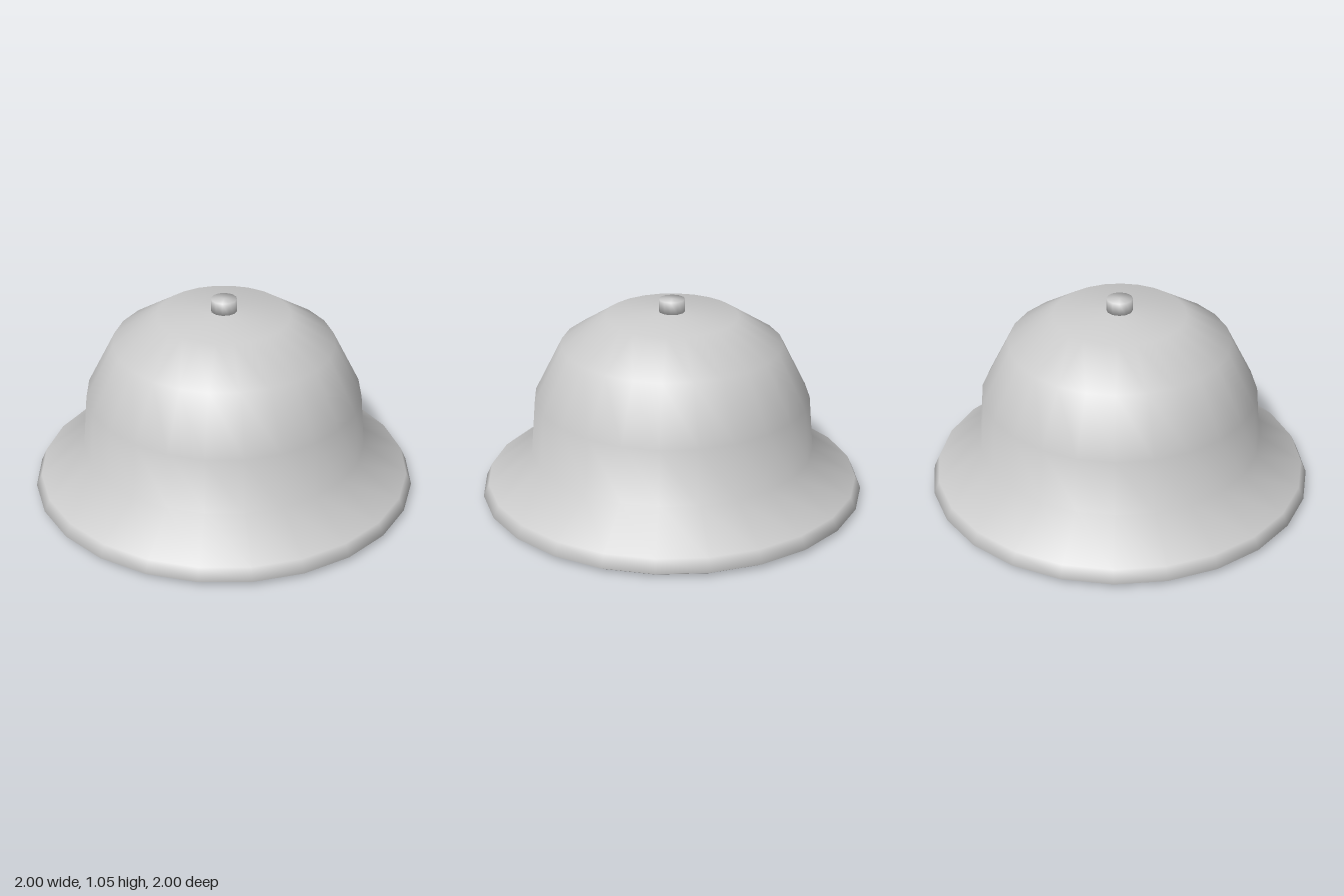
import * as THREE from 'three';

const material = new THREE.MeshStandardMaterial({ color: 0xcccccc });

// Revolve a list of [radius, height] pairs into a named, smooth-shaded part
function turned(name, profile, sides) {
  const points = profile.map(([r, y]) => new THREE.Vector2(r, y));
  const mesh = new THREE.Mesh(new THREE.LatheGeometry(points, sides), material);
  mesh.name = name;
  return mesh;
}

export function createModel() {
  const helmet = new THREE.Group();
  helmet.name = 'sunHelmet';

  // Underside of the brim, rolled rim, sloping brim and crown
  helmet.add(turned('crownAndBrim', [
    [0.63, 0.19], [0.92, 0.005], [0.96, 0.005], [1, 0.03], [0.97, 0.095],
    [0.74, 0.25], [0.715, 0.54], [0.57, 0.825], [0.34, 0.97], [0, 0.995],
  ], 24));

  // Hollow inside of the crown
  helmet.add(turned('innerCrown', [
    [0, 0.93], [0.3, 0.9], [0.51, 0.77], [0.62, 0.52], [0.63, 0.19],
  ], 24));

  // Small button on top
  helmet.add(turned('topButton', [
    [0, 0.975], [0.067, 0.985], [0.067, 1.055], [0, 1.055],
  ], 12));

  return helmet;
}
